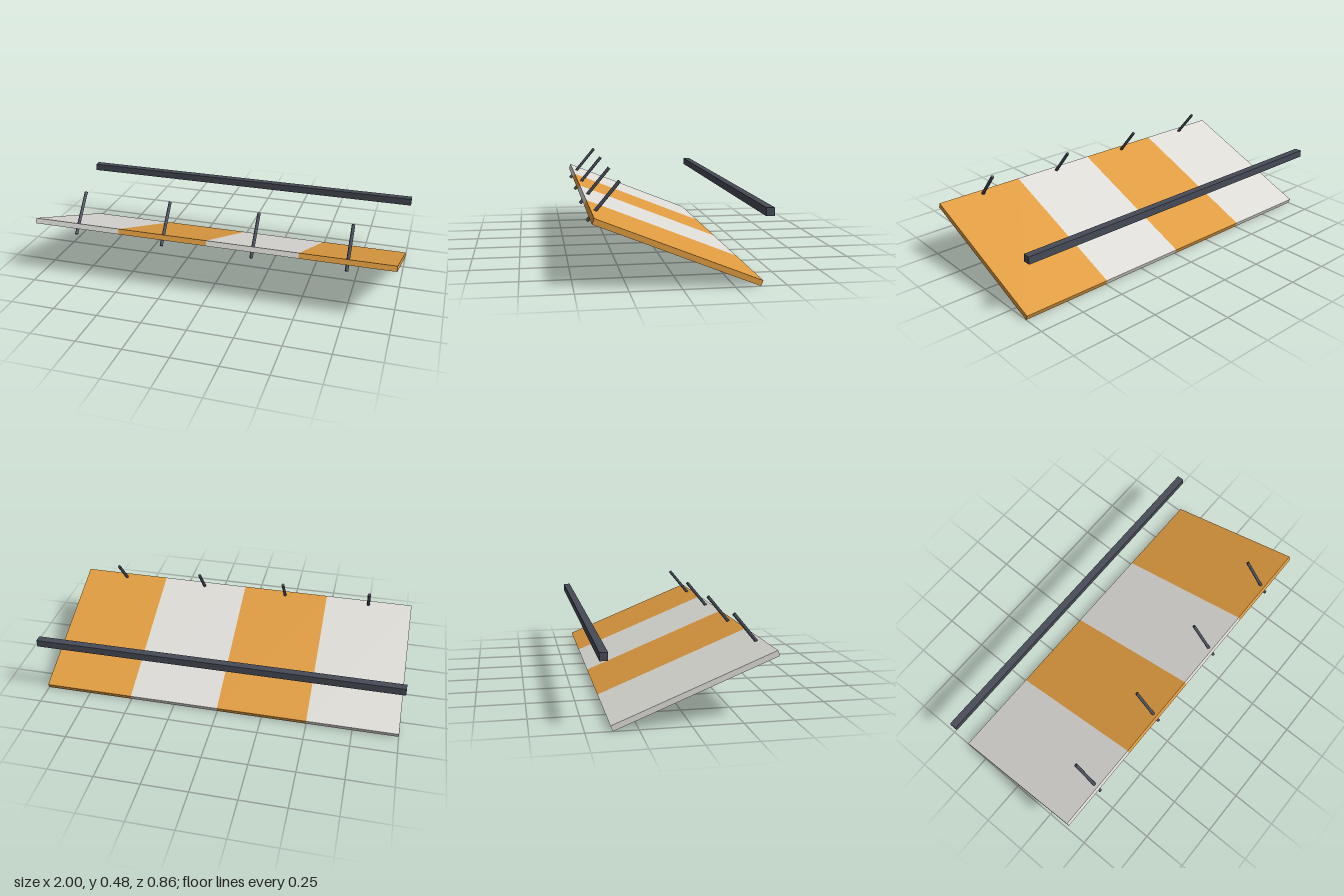
import * as THREE from 'three';

const material = (name, color) => {
  const m = new THREE.MeshStandardMaterial({ color });
  m.name = name;
  return m;
};

export function createModel() {
  const white = material('off white', 0xdddcd7);
  const orange = material('amber orange', 0xe09c40);
  const steel = material('dark steel', 0x464b56);

  const model = new THREE.Group();
  model.name = 'awning';
  const add = (parent, name, geometry, mat, x, y, z) => {
    const mesh = new THREE.Mesh(geometry, mat);
    mesh.name = name;
    mesh.position.set(x, y, z);
    parent.add(mesh);
    return mesh;
  };

  // Sloping striped canopy, high edge at the front
  const canopy = new THREE.Group();
  canopy.name = 'canopy';
  canopy.position.set(0, 0.175, 0.017);
  canopy.rotation.x = -THREE.MathUtils.degToRad(22);
  model.add(canopy);
  const stripe = new THREE.BoxGeometry(0.5, 0.029, 0.85);

  // Slanted pins piercing the front edge, one per stripe
  const pin = new THREE.CylinderGeometry(0.009, 0.009, 0.247, 8);

  for (let i = 0; i < 4; i++) {
    const x = -0.75 + i * 0.5;
    add(canopy, `canopyStripe${i + 1}`, stripe, i % 2 ? orange : white, x, 0, 0);
    add(model, `pin${i + 1}`, pin, steel, x, 0.383, 0.342)
      .rotation.x = -THREE.MathUtils.degToRad(39.8);
  }

  // Square rail running the full width at the back
  add(model, 'backRail', new THREE.BoxGeometry(2, 0.04, 0.04), steel, 0, 0.355, -0.409);

  return model;
}
